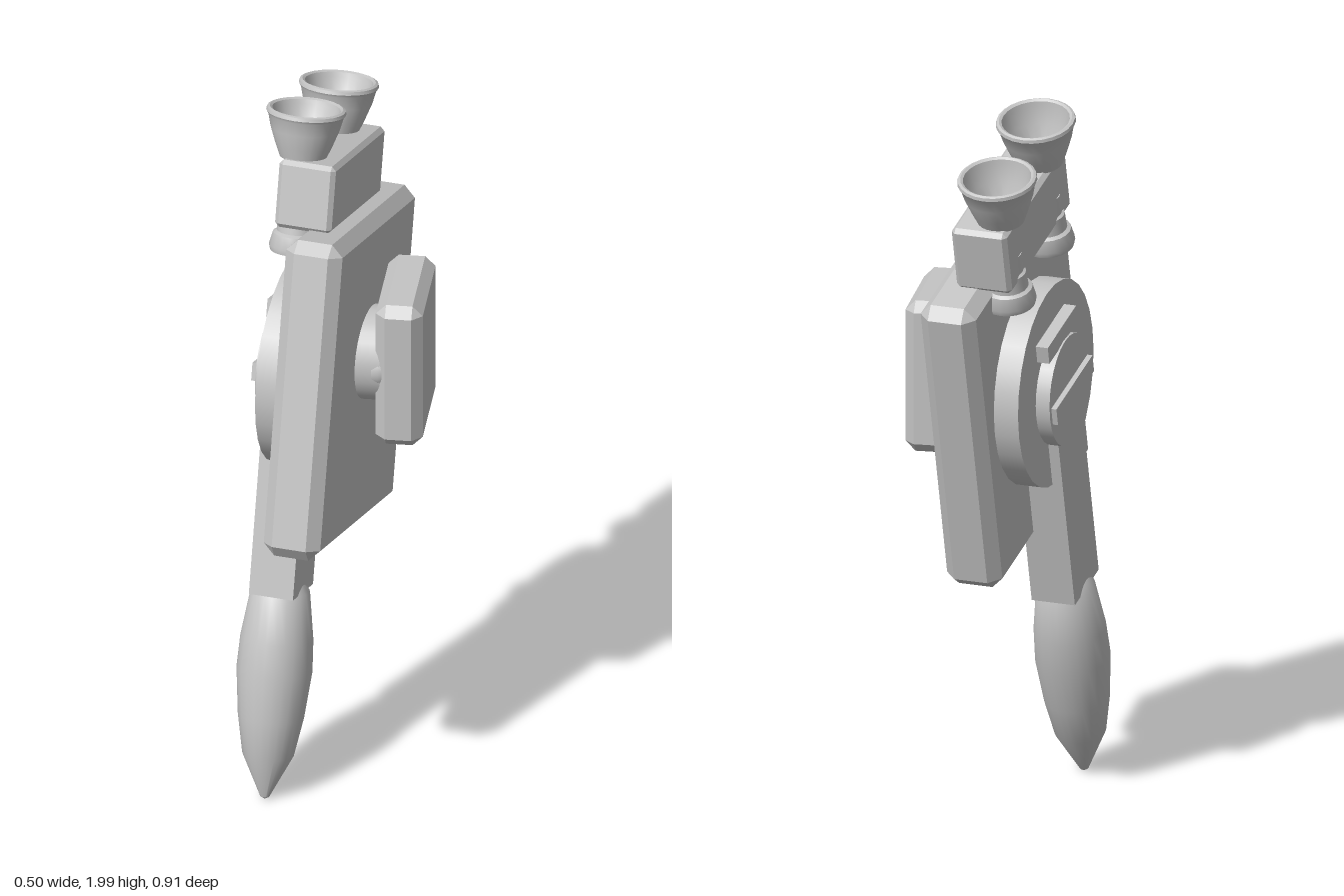
import * as THREE from 'three';
import { toCreasedNormals } from 'three/addons/utils/BufferGeometryUtils.js';
import { ConvexGeometry } from 'three/addons/geometries/ConvexGeometry.js';

const grey = new THREE.MeshStandardMaterial({ color: 0xc4c4c4 });
grey.name = 'plain grey';

// Box with flat chamfers on every edge
function chamferBox(w, h, d, c) {
  const points = [];
  for (const sx of [-1, 1]) for (const sy of [-1, 1]) for (const sz of [-1, 1]) {
    const x = w / 2, y = h / 2, z = d / 2;
    points.push(
      new THREE.Vector3(sx * x, sy * (y - c), sz * (z - c)),
      new THREE.Vector3(sx * (x - c), sy * y, sz * (z - c)),
      new THREE.Vector3(sx * (x - c), sy * (y - c), sz * z));
  }
  return new ConvexGeometry(points);
}

// Turned part; profile runs from bottom to top along the outside
function turned(profile, segments = 24) {
  const g = new THREE.LatheGeometry(profile.map(([r, y]) => new THREE.Vector2(r, y)), segments);
  return toCreasedNormals(g, 0.6);
}

function add(parent, name, geometry, x, y, z) {
  const mesh = new THREE.Mesh(geometry, grey);
  mesh.name = name;
  mesh.position.set(x, y, z);
  parent.add(mesh);
  return mesh;
}

// Disc whose axis runs along x, between x0 and x1
function disc(parent, name, r, x0, x1, y, z) {
  const g = new THREE.CylinderGeometry(r, r, x1 - x0, 28).rotateZ(Math.PI / 2);
  return add(parent, name, g, (x0 + x1) / 2, y, z);
}

export function createModel() {
  const model = new THREE.Group();
  model.name = 'tilted pack with thrusters';

  // Everything but the side box leans together
  const pack = new THREE.Group();
  pack.name = 'leaningPack';
  pack.position.set(0.005, 1.195, 0);
  pack.rotation.set(-0.244, -0.183, 0, 'YXZ');
  model.add(pack);

  add(pack, 'mainBody', chamferBox(0.16, 0.89, 0.73, 0.032), 0, 0, 0);
  add(pack, 'thrusterBlock', chamferBox(0.16, 0.19, 0.47, 0.012), -0.068, 0.535, 0);

  // Hollow cups above the block, stepped stubs below it
  for (const z of [0.15, -0.15]) {
    add(pack, 'thrusterCup', turned([
      [0, 0], [0.064, 0], [0.078, 0.035], [0.094, 0.08], [0.103, 0.118], [0.109, 0.126],
      [0.107, 0.135], [0.1, 0.138], [0.093, 0.134], [0.09, 0.122], [0.075, 0.075], [0.04, 0.012], [0, 0.012],
    ]), -0.105, 0.625, z);
    add(pack, 'thrusterStub', turned([
      [0, 0], [0.07, 0], [0.074, 0.015], [0.066, 0.05], [0.056, 0.056], [0.053, 0.1], [0.046, 0.105], [0.046, 0.16], [0, 0.16],
    ], 20), -0.105, 0.36, z);
  }

  // Pivot discs with raised bars
  disc(pack, 'largeDisc', 0.285, -0.15, -0.07, 0.015, 0);
  disc(pack, 'pivotDisc', 0.155, -0.19, -0.14, 0, 0);
  add(pack, 'pivotBar', new THREE.BoxGeometry(0.03, 0.05, 0.28), -0.19, 0, 0);
  add(pack, 'upperBar', new THREE.BoxGeometry(0.05, 0.05, 0.22), -0.16, 0.175, 0);

  // Arm and spindle-shaped grip
  add(pack, 'arm', new THREE.BoxGeometry(0.125, 0.56, 0.185), -0.117, -0.355, 0);
  add(pack, 'grip', turned([
    [0, -1.226], [0.012, -1.22], [0.07, -1.1], [0.09, -0.99], [0.103, -0.86], [0.099, -0.77], [0.08, -0.635], [0.06, -0.61], [0, -0.61],
  ]), -0.118, 0, 0);

  // Upright side box on a round mount
  add(model, 'sideBox', chamferBox(0.128, 0.43, 0.335, 0.028), 0.182, 1.255, -0.027);
  disc(model, 'sideMount', 0.13, 0.05, 0.13, 1.26, 0);
  add(model, 'mountKnob', new THREE.SphereGeometry(0.058, 20, 14), 0.125, 1.26, 0.075);

  return model;
}
